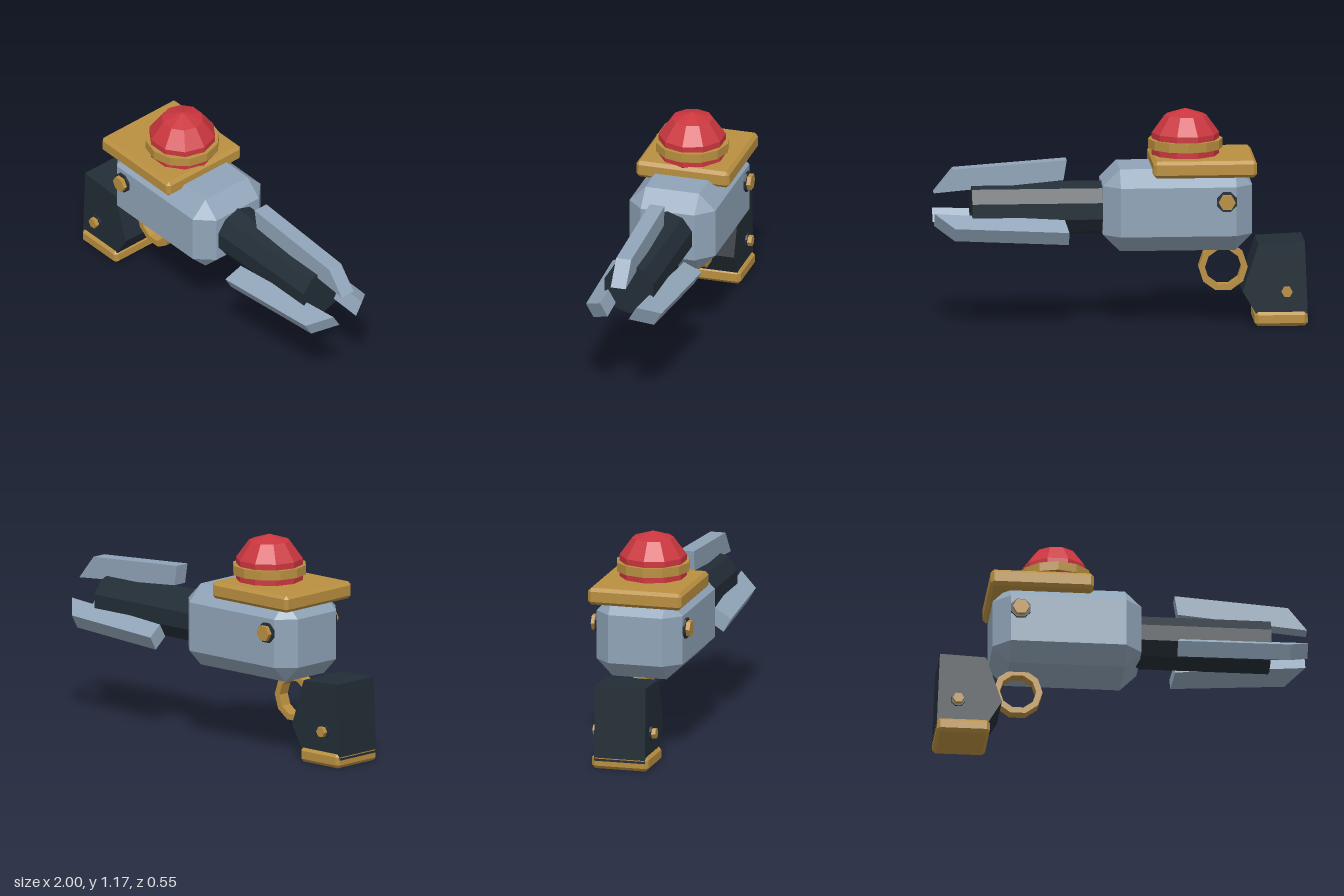
import * as THREE from 'three';
import { ConvexGeometry } from 'three/addons/geometries/ConvexGeometry.js';

const mat = (name, color) => {
  const m = new THREE.MeshStandardMaterial({ color, flatShading: true });
  m.name = name;
  return m;
};

// Box with every edge cut at 45 degrees
function chamferBox(w, h, d, b) {
  const half = [w / 2, h / 2, d / 2];
  const points = [];
  for (const sx of [-1, 1]) for (const sy of [-1, 1]) for (const sz of [-1, 1])
    for (let axis = 0; axis < 3; axis++) {
      const p = half.map((v, i) => (i === axis ? v : v - b));
      points.push(new THREE.Vector3(sx * p[0], sy * p[1], sz * p[2]));
    }
  return new ConvexGeometry(points);
}

// Side profile extruded evenly about z = 0
function slab(shape, depth) {
  return new THREE.ExtrudeGeometry(shape, { depth, bevelEnabled: false }).translate(0, 0, -depth / 2);
}

const polygon = (pts) => new THREE.Shape(pts.map(([x, y]) => new THREE.Vector2(x, y)));

const ringPoints = (r, n) => Array.from({ length: n }, (_, i) => {
  const a = (i / n) * Math.PI * 2;
  return [r * Math.cos(a), r * Math.sin(a)];
});

export function createModel() {
  const steel = mat('steel', 0x90a4b8);
  const dark = mat('darkMetal', 0x222d36);
  const gold = mat('brass', 0xb98f40);
  const red = mat('redGlass', 0xcb363e);

  const model = new THREE.Group();
  model.name = 'rayGun';
  const add = (name, geometry, material, x = 0, y = 0, z = 0, parent = model) => {
    const mesh = new THREE.Mesh(geometry, material);
    mesh.name = name;
    mesh.position.set(x, y, z);
    parent.add(mesh);
    return mesh;
  };

  // Body and barrel
  add('body', chamferBox(0.8, 0.445, 0.48, 0.09), steel, -0.3, 0.642, 0);
  const barrel = new THREE.CylinderGeometry(0.144, 0.144, 0.8, 10, 1, false, Math.PI / 2);
  add('barrel', barrel.rotateZ(Math.PI / 2), dark, 0.4, 0.635, 0);

  // Three fins spaced around the barrel axis
  const fin = slab(polygon([[0.305, 0.155], [1.0, 0.092], [0.897, 0.22], [0.287, 0.264]]), 0.084);
  for (let i = 0; i < 3; i++) {
    add('muzzleFin', fin, steel, 0, 0.635, 0).rotation.x = (i * Math.PI * 2) / 3;
  }

  // Top plate, dome and its band
  add('topPlate', chamferBox(0.555, 0.092, 0.522, 0.018), gold, -0.442, 0.874, 0);
  add('dome', new THREE.SphereGeometry(0.19, 10, 5), red, -0.352, 0.978, 0);
  add('domeBand', new THREE.CylinderGeometry(0.2, 0.2, 0.05, 12), gold, -0.352, 0.98, 0);

  // Trigger ring
  const ring = polygon(ringPoints(0.132, 10));
  ring.holes.push(polygon(ringPoints(0.098, 10)));
  add('triggerRing', slab(ring, 0.066), gold, -0.553, 0.305, 0);

  // Grip and its base
  const grip = polygon([[-1.0, 0.045], [-0.72, 0.07], [-0.65, 0.19], [-0.735, 0.447], [-0.983, 0.458]]);
  add('grip', slab(grip, 0.284), dark);
  add('gripBase', chamferBox(0.285, 0.08, 0.314, 0.018), gold, -0.857, 0.04, 0);

  // Bolts with collars on both sides
  const bolt = (name, x, y, faceZ, collarR, headR) => {
    for (const side of [-1, 1]) {
      const g = new THREE.Group();
      g.name = name;
      g.position.set(x, y, side * faceZ);
      model.add(g);
      const collar = new THREE.CylinderGeometry(collarR, collarR, 0.024, 8, 1, false, Math.PI / 8);
      const head = new THREE.CylinderGeometry(headR, headR, 0.07, 6, 1, false, Math.PI / 2);
      add('collar', collar.rotateX(Math.PI / 2), dark, 0, 0, 0, g);
      add('boltHead', head.rotateX(Math.PI / 2), gold, 0, 0, 0, g);
    }
  };
  bolt('bodyBolt', -0.558, 0.697, 0.24, 0.057, 0.045);
  bolt('gripBolt', -0.886, 0.19, 0.14, 0.04, 0.03);

  return model;
}
